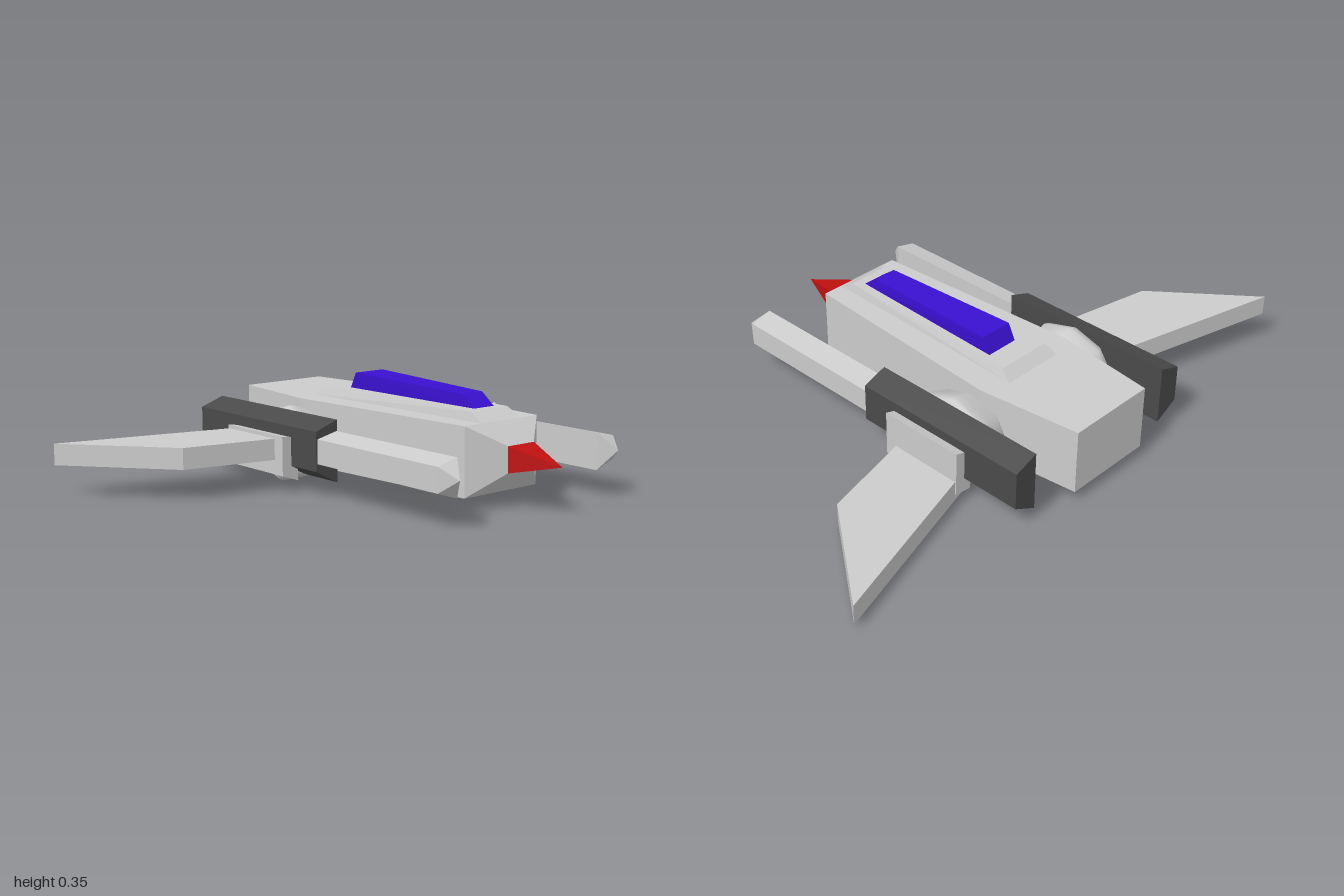
import * as THREE from 'three';
import { ConvexGeometry } from 'three/addons/geometries/ConvexGeometry.js';

const mat = (color) => new THREE.MeshStandardMaterial({ color });
const grey = mat(0xcccccc);
const dark = mat(0x4a4a4a);
const blue = mat(0x3a10d0);
const red = mat(0xc01010);

// Faceted solid spanned by a few corner points
function solid(name, material, points) {
  const geo = new ConvexGeometry(points.map((p) => new THREE.Vector3(...p)));
  const mesh = new THREE.Mesh(geo, material);
  mesh.name = name;
  return mesh;
}

// Rectangle of four corners at one z
const rect = (z, x0, x1, y0, y1) => [[x0, y0, z], [x1, y0, z], [x1, y1, z], [x0, y1, z]];

// Outline in x/z given thickness from y0 to y1
const slab = (outline, y0, y1) => outline.flatMap(([x, z]) => [[x, y0, z], [x, y1, z]]);

// Section with a tall inner edge and a short outer edge, on side s
const bevelled = (s, z, xIn, xOut, yIn, yOut) => [
  [s * xIn, yIn[0], z], [s * xIn, yIn[1], z],
  [s * xOut, yOut[0], z], [s * xOut, yOut[1], z],
];

function createSide(s) {
  const side = new THREE.Group();
  side.name = s > 0 ? 'leftEngine' : 'rightEngine';

  // Long dark engine block
  side.add(solid('engineBlock', dark, [
    ...bevelled(s, -0.65, 0.302, 0.387, [0.045, 0.25], [0.09, 0.22]),
    ...bevelled(s, -0.005, 0.302, 0.387, [0.045, 0.25], [0.09, 0.22]),
  ]));

  // Gun barrel with pointed end
  side.add(solid('gun', grey, [
    ...bevelled(s, -0.02, 0.305, 0.382, [0.09, 0.213], [0.115, 0.195]),
    ...bevelled(s, 0.56, 0.305, 0.382, [0.09, 0.213], [0.115, 0.195]),
    [s * 0.345, 0.157, 0.615],
  ]));

  // Rounded joint between body and engine, tilted slightly
  const profile = [[0, -0.13], [0.82, -0.13], [0.9, -0.08], [0.97, -0.03], [1, 0], [0.96, 0.015], [0.82, 0.04], [0, 0.04]]
    .map(([r, t]) => new THREE.Vector2(r, t));
  const geo = new THREE.LatheGeometry(profile, 8);
  geo.scale(0.128, 1, 0.165);
  geo.rotateZ(-Math.PI / 2 + 0.15);
  if (s < 0) geo.rotateY(Math.PI);
  const joint = new THREE.Mesh(geo, grey);
  joint.name = 'joint';
  joint.position.set(s * 0.29, 0.132, -0.292);
  side.add(joint);

  // Wing mount outside the engine
  side.add(solid('wingMount', grey, [-0.44, -0.137].flatMap((z) =>
    bevelled(s, z, 0.36, 0.422, [0.038, 0.18], s > 0 ? [0.045, 0.2] : [0.06, 0.19]))));
  return side;
}

export function createModel() {
  const model = new THREE.Group();
  model.name = 'spaceship';

  // Body, nose and pointed tip
  model.add(solid('body', grey, [
    ...rect(-0.69, -0.16, 0.16, 0.045, 0.27),
    ...rect(-0.33, -0.203, 0.203, 0.045, 0.27),
    ...rect(0.435, -0.157, 0.157, 0.045, 0.27),
  ]));
  model.add(solid('nose', grey, [
    ...rect(0.435, -0.157, 0.157, 0.045, 0.27),
    ...rect(0.51, -0.045, 0.068, 0.12, 0.205),
  ]));
  model.add(solid('noseTip', red, [...rect(0.51, -0.045, 0.068, 0.12, 0.205), [0.011, 0.158, 0.685]]));

  // Raised deck and canopy
  model.add(solid('deck', grey, [
    ...slab([[-0.112, -0.37], [0.112, -0.37], [0.085, 0.435], [-0.085, 0.435]], 0.262, 0.27),
    [-0.1, 0.3, -0.33], [0.1, 0.3, -0.33], [0.08, 0.3, 0.38], [-0.08, 0.3, 0.38],
  ]));
  model.add(solid('canopy', blue, [
    [-0.045, 0.295, -0.252], [0.074, 0.295, -0.252], [-0.034, 0.295, 0.355], [0.051, 0.295, 0.355],
    [-0.045, 0.354, -0.222], [0.074, 0.354, -0.222], [-0.034, 0.34, 0.295], [0.051, 0.34, 0.295],
  ]));

  model.add(createSide(1), createSide(-1));

  // Swept wings, set at different heights
  model.add(solid('leftWing', grey, slab(
    [[0.355, -0.415], [1, -0.607], [0.74, -0.255], [0.355, -0.162]], 0.022, 0.092)));
  model.add(solid('rightWing', grey, slab(
    [[-0.355, -0.415], [-1, -0.573], [-0.732, -0.24], [-0.355, -0.166]], 0.108, 0.178)));

  return model;
}
